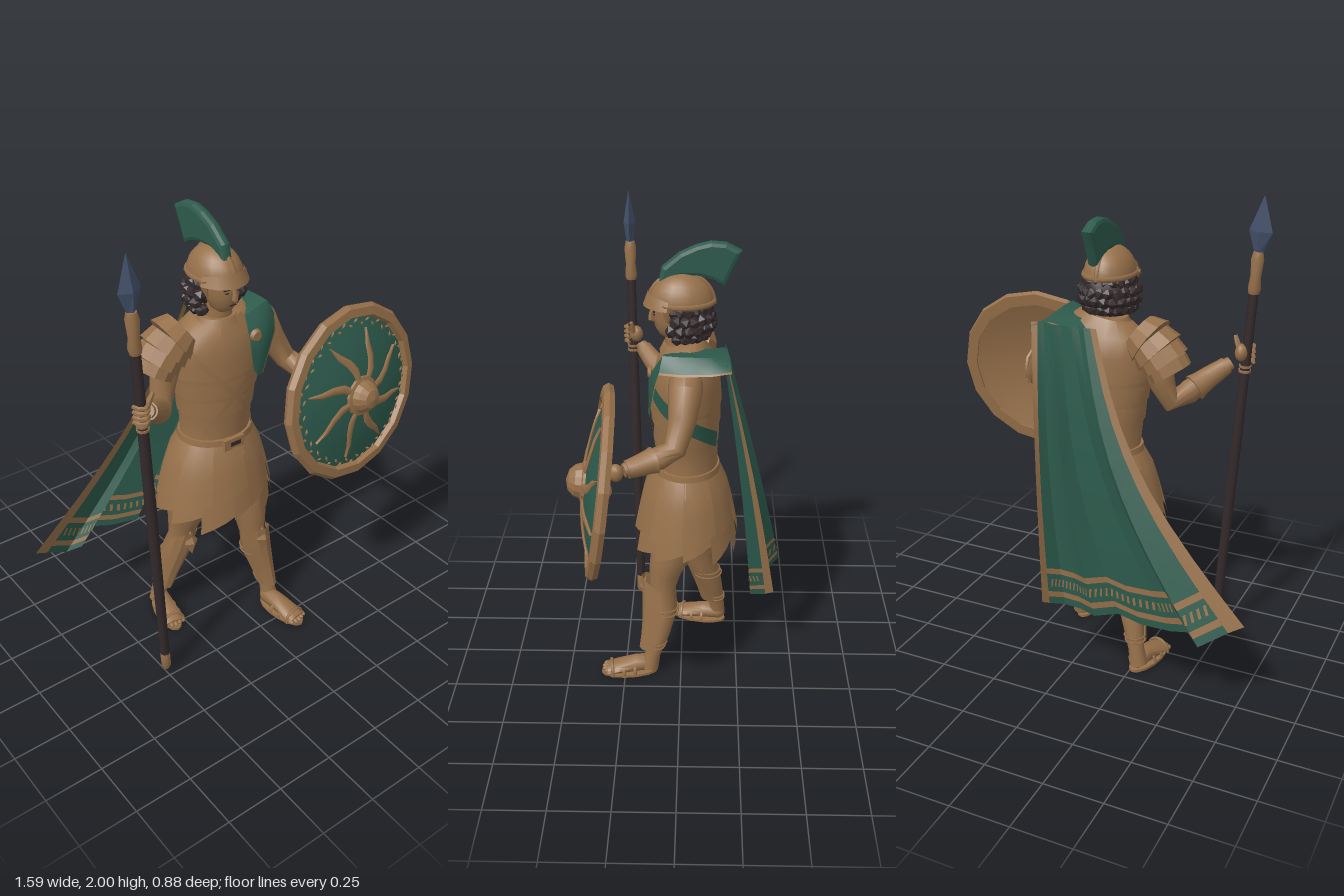
import * as THREE from 'three';
import { toCreasedNormals } from 'three/addons/utils/BufferGeometryUtils.js';

const PI = Math.PI, { sin, cos } = Math;
const V = (x, y, z) => new THREE.Vector3(x, y, z);
const paint = (name, color) => Object.assign(new THREE.MeshStandardMaterial({ color, side: THREE.DoubleSide }), { name });
const torus = (r, t, arc = PI * 2) => new THREE.TorusGeometry(r, t, 5, 20, arc);
const build = (pos, idx, crease) => {
  const g = new THREE.BufferGeometry().setIndex(idx);
  g.setAttribute('position', new THREE.Float32BufferAttribute(pos, 3));
  return toCreasedNormals(g, crease);
};
// Linear interpolation along a list of rows
const along = (rows, t) => {
  const i = Math.max(0, Math.min(Math.floor(t), rows.length - 2));
  return rows[i].map((v, k) => v + (rows[i + 1][k] - v) * (t - i));
};

export function createModel() {
  const tan = paint('tan leather', 0x96704a), green = paint('green cloth', 0x2d5a4c);
  const dark = paint('dark brown', 0x33292b), steel = paint('blue steel', 0x43506a);
  const model = new THREE.Group();
  const add = (name, geo, mat, pos = [0, 0, 0], scale = [1, 1, 1], parent = model) => {
    const mesh = new THREE.Mesh(geo, mat);
    mesh.name = name;
    mesh.position.set(...pos);
    mesh.scale.set(...scale);
    parent.add(mesh);
    return mesh;
  };
  // Closed solid through elliptical rings [x, y, z, rx, rz] set square to their path
  const loft = (name, mat, rings, seg = 12, parent = model, crease = 0.9) => {
    const pos = [], idx = [], c = rings.map(r => V(r[0], r[1], r[2])), n = rings.length;
    rings.forEach(([, , , rx, rz = rx], j) => {
      const t = c[Math.min(j + 1, n - 1)].clone().sub(c[Math.max(j - 1, 0)]).normalize();
      const ax = t.clone().cross(V(0, 0, 1)).normalize(), az = ax.clone().cross(t);
      for (let i = 0; i < seg; i++) {
        const a = (i / seg) * PI * 2, A = j * seg + i, B = j * seg + (i + 1) % seg;
        pos.push(...c[j].clone().addScaledVector(ax, rx * cos(a)).addScaledVector(az, rz * sin(a)));
        if (j < n - 1) idx.push(A, A + seg, B, B, A + seg, B + seg);
      }
    });
    pos.push(...c[0], ...c[n - 1]);
    for (let i = 0, e = (n - 1) * seg; i < seg; i++) {
      const k = (i + 1) % seg;
      idx.push(n * seg, i, k, n * seg + 1, e + k, e + i);
    }
    return add(name, build(pos, idx, crease), mat, undefined, undefined, parent);
  };
  // Open sheet from a rule f(u, v)
  const sheet = (name, mat, f, nu, nv, [u0, u1, v0, v1] = [0, 1, 0, 1], crease = 0.6) => {
    const pos = [], idx = [];
    for (let j = 0; j <= nv; j++) for (let i = 0; i <= nu; i++) {
      pos.push(...f(u0 + ((u1 - u0) * i) / nu, v0 + ((v1 - v0) * j) / nv));
      const a = j * (nu + 1) + i;
      if (i < nu && j < nv) idx.push(a, a + 1, a + nu + 1, a + 1, a + nu + 2, a + nu + 1);
    }
    return add(name, build(pos, idx, crease), mat);
  };

  // Torso with chest straps, sash and belt
  const torso = [[-.05, .93, -.025, .165, .13], [-.05, .98, -.025, .155, .13], [-.05, 1.1, -.02, .165, .13], [-.045, 1.25, -.02, .195, .14],
    [-.04, 1.38, -.02, .215, .14], [-.04, 1.46, -.02, .2, .12], [-.05, 1.52, -.01, .12, .085]];
  loft('cuirass', tan, torso, 20);
  const onTorso = (y, a, off) => {
    const i = Math.max(0, torso.findIndex((r, k) => k < 6 && y <= torso[k + 1][1]));
    const r = along(torso, i + (y - torso[i][1]) / (torso[i + 1][1] - torso[i][1]));
    return [r[0] + (r[3] + off) * cos(a), y, r[2] + (r[4] + off) * sin(a)];
  };
  for (const [a0, y0, a1, y1] of [[2.4, 1.02, .9, 1.34], [.75, 1.0, 2.5, 1.4]])
    sheet('chestStrap', tan, (u, v) => onTorso(y0 + (y1 - y0) * u + (v - .5) * .035, a0 + (a1 - a0) * u, .009), 14, 1);
  for (const y of [1.1, 1.19, 1.28])
    sheet('cuirassBand', tan, (u, v) => onTorso(y + v * .07, u * PI * 2, .002 + .005 * (1 - v)), 24, 1);
  sheet('sash', green, (u, v) => onTorso(1.38 - .25 * u + (v - .5) * .075, 1.25 - 2.3 * u, .014), 14, 1);
  loft('belt', tan, [[-.05, .94, -.022, .172, .143], [-.05, .985, -.022, .166, .14]], 20);
  add('buckle', new THREE.BoxGeometry(.1, .05, .02), tan, [-.06, .965, .12]);
  add('buckleSlot', new THREE.BoxGeometry(.05, .018, .006), dark, [-.055, .965, .13]);

  // Skirt: inner cone and two layers of ragged lappets
  const skirtAt = (a, y, off) => {
    const t = Math.pow(Math.max(0, .96 - y) / .36, .62);
    return [-.05 - .01 * t + (.16 + .1 * t + off) * cos(a), y, -.022 + (.135 + .082 * t + off) * sin(a)];
  };
  sheet('skirt', tan, (u, v) => skirtAt(u * PI * 2, .96 - v * .29, -.004), 24, 5);
  for (const [n, len, off] of [[11, .33, .002], [9, .25, .01]]) for (let i = 0; i < n; i++) {
    const drop = len + .025 * sin(i * 2.4);
    sheet('lappet', tan, (u, v) => skirtAt(((i + u * 1.08) / n) * PI * 2, .96 - v * (drop + .055 * (u - .5)), off + .01 * u * v), 3, 4);
  }

  // Legs with greaves and sandals
  for (const [side, path, fx, fz, turn] of [
    ['left', [[.05, .72, 0, .1], [.065, .6, .04, .093], [.075, .5, .07, .07], [.078, .42, .08, .057], [.095, .32, .075, .06],
      [.12, .2, .095, .045], [.135, .1, .125, .034], [.14, .03, .14, .04]], .14, .23, .12],
    ['right', [[-.16, .72, -.02, .1], [-.17, .6, -.06, .095], [-.185, .5, -.075, .07], [-.195, .42, -.085, .057], [-.215, .32, -.115, .06],
      [-.245, .2, -.145, .045], [-.268, .1, -.165, .034], [-.28, .03, -.165, .04]], -.29, -.08, -.2]]) {
    loft(side + 'Leg', tan, path);
    const shin = path.slice(3, 7), [kx, ky, kz] = path[3];
    sheet(side + 'Greave', tan, (u, v) => {
      const [x, y, z, r] = along(shin, v * 2.7), a = PI * (.04 + .92 * u), w = r + .011 - .004 * v;
      return [x + w * cos(a), y + .06 * sin(a) * (1 - v), z + (w + .025 * sin(a)) * sin(a)];
    }, 6, 6, undefined, .4);
    const boss = add(side + 'KneeBoss', build([-.035, 0, 0, 0, -.062, 0, .035, 0, 0, 0, .062, 0, 0, 0, .025],
      [0, 1, 4, 1, 2, 4, 2, 3, 4, 3, 0, 4], .1), tan, [kx, ky, kz + .078]);
    boss.rotation.x = -.1;
    for (const [t, s] of [[.9, .063], [1.1, .065], [2.4, .044], [2.6, .042]])
      add(side + 'GreaveTie', torus(s, .004).rotateX(PI / 2), tan, along(shin, t).slice(0, 3));
    const foot = new THREE.Group();
    foot.name = side + 'Foot';
    foot.position.set(fx, 0, fz);
    foot.rotation.y = turn;
    model.add(foot);
    loft('foot', tan, [[0, .05, -.12, .02, .02], [0, .049, -.1, .038, .038], [0, .046, -.03, .04, .039],
      [0, .034, .05, .049, .025], [0, .026, .1, .046, .016]], 10, foot);
    add('sole', new THREE.CylinderGeometry(.058, .058, .012, 14), tan, [0, .007, 0], [.9, 1, 2.2], foot);
    for (let i = 0; i < 5; i++)
      add('toe', new THREE.SphereGeometry(.014, 8, 6), tan, [(i - 2) * .02, .024, .108 - Math.abs(i - 1.6) * .008], [.8, .8, 1.5], foot);
    for (const [z, h] of [[-.02, .95], [.03, .9], [.08, 1.05]])
      add('sandalStrap', torus(.05, .005, PI), tan, [0, .012, z], [1.02, h, 1.6], foot);
  }

  // Arms, bracers and hands
  for (const [side, path, hand] of [
    ['right', [[-.22, 1.44, -.02, .065], [-.27, 1.38, -.03, .066], [-.3, 1.28, -.025, .055], [-.33, 1.195, 0, .046],
      [-.385, 1.22, .065, .049], [-.45, 1.275, .135, .037], [-.515, 1.325, .19, .027]], [-.55, 1.365, .215]],
    ['left', [[.12, 1.43, -.02, .068], [.19, 1.405, -.02, .068], [.235, 1.31, -.01, .057], [.29, 1.205, .02, .047],
      [.315, 1.18, .08, .047], [.35, 1.165, .155, .037], [.375, 1.155, .215, .028]], [.385, 1.15, .245]]]) {
    loft(side + 'Arm', tan, path);
    loft(side + 'Bracer', tan, [.25, .5, 1, 1.6, 1.8].map(t => {
      const [x, y, z, r] = along(path.slice(4), t);
      return [x, y, z, r + (t < .4 ? .011 : .007)];
    }));
    add(side + 'Hand', new THREE.SphereGeometry(.034, 12, 8), tan, hand, [.8, 1.1, .9]);
  }
  for (let i = 0, y = 1.325; i < 4; i++, y += .022)
    loft('finger', tan, [[-.545, y, .245, .009], [-.57, y, .263, .01], [-.59, y, .25, .01], [-.6, y + .003, .225, .008]], 6);
  loft('thumb', tan, [[-.54, 1.37, .225, .013], [-.525, 1.405, .23, .012], [-.515, 1.43, .235, .008]], 6);

  // Layered shoulder guard
  const slope = [[-.2, 1.475, -.03, .09], [-.265, 1.432, -.035, .105], [-.315, 1.375, -.035, .096], [-.345, 1.325, -.035, .078]];
  for (let i = 0; i < 4; i++) {
    const [a, b] = [along(slope, i * .72), along(slope, i * .72 + .82)];
    loft('shoulderPlate', tan, [[...a.slice(0, 3), a[3] - .005], [...b.slice(0, 3), b[3] + .01]], 12, model, .4);
  }

  // Neck, head and face
  loft('collar', tan, [[-.05, 1.49, 0, .1, .09], [-.05, 1.52, 0, .085, .075]], 16);
  loft('neck', tan, [[-.05, 1.47, 0, .065], [-.053, 1.54, .015, .052], [-.055, 1.62, .02, .052]]);
  loft('head', tan, [[-.055, 1.548, .06, .025, .03], [-.055, 1.57, .052, .05, .058], [-.055, 1.61, .038, .064, .077],
    [-.055, 1.66, .03, .07, .088], [-.055, 1.74, .02, .068, .085]], 16);
  loft('nose', tan, [[-.055, 1.672, .113, .007], [-.055, 1.64, .122, .01], [-.055, 1.618, .122, .014], [-.055, 1.612, .11, .008]], 6);
  add('mouth', new THREE.BoxGeometry(.028, .004, .005), dark, [-.055, 1.59, .109]);
  for (const s of [-1, 1]) {
    add('eye', new THREE.SphereGeometry(.009, 8, 6), dark, [-.055 + s * .028, 1.645, .108], [1.1, .4, .5]);
    add('eyebrow', new THREE.BoxGeometry(.028, .005, .008), dark, [-.055 + s * .028, 1.66, .108]);
    loft('cheekGuard', tan, [[-.06 + s * .095, 1.7, .045, .012, .03], [-.06 + s * .087, 1.66, .05, .01, .02], [-.06 + s * .08, 1.63, .055, .006, .008]], 8);
  }
  // Curly hair in rows around the back and sides
  for (let row = 0; row < 4; row++) for (let i = 0; i < 13; i++) {
    const a = .12 * PI - (i + (row % 2) * .5) / 12.5 * PI * 1.24, k = [.085, .1, .102, .085][row];
    add('hairCurl', new THREE.IcosahedronGeometry(.03, 0), dark, [-.062 + k * 1.06 * cos(a), 1.67 - row * .035, -.005 + k * 1.12 * sin(a)],
      [.9, 1.05, .9]).rotation.set(i, row, i * row);
  }
  add('hairMass', new THREE.SphereGeometry(.1, 12, 8), dark, [-.06, 1.635, -.045], [.95, .9, .9]);

  // Helmet with brow band, peak and crest
  add('helmet', new THREE.SphereGeometry(1, 18, 8, 0, PI * 2, 0, PI / 2), tan, [-.06, 1.685, 0], [.103, .125, .132]);
  add('helmetBand', torus(1, .08).rotateX(PI / 2), tan, [-.06, 1.695, 0], [.102, .15, .13]);
  sheet('helmetPeak', tan, (u, v) => {
    const a = PI * (.12 + .76 * u), k = 1 + .15 * v;
    return [-.06 + .104 * k * cos(a), 1.705 - .025 * v + .03 * sin(a) * (1 - v), .134 * k * sin(a)];
  }, 10, 2);
  add('crestRidge', torus(1, .05, PI).rotateY(PI / 2), tan, [-.06, 1.685, 0], [.2, .126, .133]);
  const crest = new THREE.Shape([[.09, 1.765], [.075, 1.83], [.005, 1.888], [-.06, 1.918], [-.116, 1.932], [-.175, 1.927], [-.233, 1.897],
    [-.2, 1.83], [-.17, 1.76], [-.125, 1.785], [-.07, 1.8], [0, 1.8]].map(p => new THREE.Vector2(-p[0], p[1])));
  add('crest', new THREE.ExtrudeGeometry(crest, { depth: .012, bevelThickness: .018, bevelSize: .018, bevelOffset: -.014, bevelSegments: 2 })
    .rotateY(PI / 2), green, [-.07, 0, 0]);

  // Spear
  const spear = (name, mat, rows, seg = 10) =>
    loft(name, mat, rows.map(([y, a, b]) => [-.49 - .057 * y, y, .21 + .015 * y, a, b]), seg, model, seg === 4 ? .1 : .9);
  spear('spearShaft', dark, [[.08, .02], [.9, .023], [1.64, .02]]);
  spear('spearFoot', tan, [[.01, .012], [.03, .021], [.1, .021], [.12, .016]]);
  spear('spearCollar', tan, [[1.61, .022], [1.63, .027], [1.68, .022], [1.75, .027], [1.78, .02]]);
  spear('spearHead', steel, [[1.77, .016, .014], [1.86, .048, .026], [1.999, .001, .001]], 4);
  for (const y of [1.28, 1.3]) spear('gripBinding', tan, [[y, .026], [y + .01, .026]]);

  // Cape: pleated sheet with tan borders, hem stripes and a row of small stitches
  const hem = [[-.79, .44, -.33], [-.73, .405, -.345], [-.62, .33, -.38], [-.56, .36, -.34], [-.52, .4, -.42], [-.38, .37, -.38],
    [-.26, .37, -.345], [-.2, .4, -.445], [-.1, .36, -.36], [0, .33, -.31], [.04, .36, -.375], [.055, .38, -.41]];
  const last = hem.length - 1;
  const cape = (u, v) => {
    const b = along(hem, u), w = u / last, sag = sin(PI * v);
    return [(-.08 + .28 * w) * (1 - v) + b[0] * v + .12 * sag * (1 - w), 1.51 * (1 - v) + b[1] * v,
      (-.18 + .16 * (b[2] + .36)) * (1 - v) + b[2] * v - .012 * sag];
  };
  for (const [v0, v1, mat] of [[0, .87, green], [.87, .89, tan], [.89, .955, green], [.955, .975, tan], [.975, 1, green]])
    sheet('cape', mat, cape, last - 2, v1 - v0 > .5 ? 8 : 1, [1, last - 1, v0, v1], .3);
  for (const u of [0, last - 1]) sheet('capeBorder', tan, cape, 1, 9, [u, u + 1, 0, 1], .3);
  for (let u = 1.1; u < last - 1.2; u += .25) for (const s of [-.004, .004])
    sheet('capeStitch', tan, (a, b) => cape(a + (b - .92) * 4, b).map((p, k) => p + (k === 2 ? s : 0)), 1, 1, [u, u + .1, .907, .935]);

  // Cloth over the left shoulder, pinned with a brooch
  const drapeIn = [[-.05, 1.5, -.185], [.015, 1.52, -.12], [.035, 1.525, 0], [.035, 1.5, .07], [.02, 1.41, .125], [.035, 1.28, .132]];
  const drapeMid = [[.13, 1.52, -.195], [.15, 1.53, -.12], [.155, 1.535, 0], [.15, 1.54, .07], [.1, 1.42, .128], [.055, 1.25, .134]];
  const drapeOut = [[.205, 1.49, -.2], [.2, 1.475, -.12], [.195, 1.47, 0], [.175, 1.47, .085], [.17, 1.41, .1], [.085, 1.25, .128]];
  const drape = (u, v) => along([drapeIn, drapeMid, drapeOut].map(d => along(d, v * 5)), u * 2);
  sheet('shoulderCloth', green, drape, 4, 10, [0, .94, 0, 1]);
  sheet('shoulderClothBorder', tan, drape, 1, 10, [.94, 1, 0, 1]);
  add('brooch', new THREE.CylinderGeometry(.02, .028, .016, 12).rotateX(PI / 2), tan, [.05, 1.43, .126]);

  // Round shield
  const shield = new THREE.Group();
  shield.name = 'shield';
  shield.position.set(.415, 1.125, .307);
  shield.lookAt(.505, 1.265, 1.307);
  model.add(shield);
  const dome = r => .06 * (1 - (r / .335) ** 2), radii = [.335, .25, .16, .08, 0];
  const disc = (name, mat, pts, seg = 16) => add(name, toCreasedNormals(
    new THREE.LatheGeometry(pts.map(p => new THREE.Vector2(...p)), seg).rotateX(PI / 2), .3), mat, undefined, undefined, shield);
  disc('shieldFace', green, radii.map(r => [r, dome(r)]));
  disc('shieldBack', tan, radii.map(r => [r, dome(r) - .014]).reverse());
  disc('shieldRim', tan, [[.325, -.02], [.375, -.02], [.384, 0], [.37, .02], [.335, .024], [.325, .004], [.325, -.02]]);
  disc('shieldBoss', tan, [[.088, .05], [.085, .066], [.07, .07], [.062, .095], [.04, .118], [0, .128]], 14);
  for (let i = 0; i < 8; i++)
    loft('shieldRay', tan, [[.07, .014], [.12, .019], [.17, .017], [.22, .013], [.28, .002]].map(([r, w], k) => {
      const a = i * PI / 4 + .2 + [0, .02, .14, .26, .3][k];
      return [r * cos(a), r * sin(a), dome(r) + .004, w, .007];
    }), 6, shield);
  for (let i = 0; i < 56; i++) {
    const a = i * PI / 28, r = .305 + (i % 2 ? .008 : -.008);
    add('wreathLeaf', new THREE.OctahedronGeometry(.014), tan, [r * cos(a), r * sin(a), dome(r) + .003], [.5, 1.1, .4], shield)
      .rotation.z = a + (i % 2 ? .6 : -.6);
  }
  for (const x of [-.09, .05])
    loft('shieldStrap', tan, [[x, -.09, .03, .008], [x + .01, -.06, -.02, .011], [x + .015, 0, -.04, .011], [x + .01, .06, -.02, .011],
      [x, .09, .03, .008]], 6, shield);
  return model;
}
